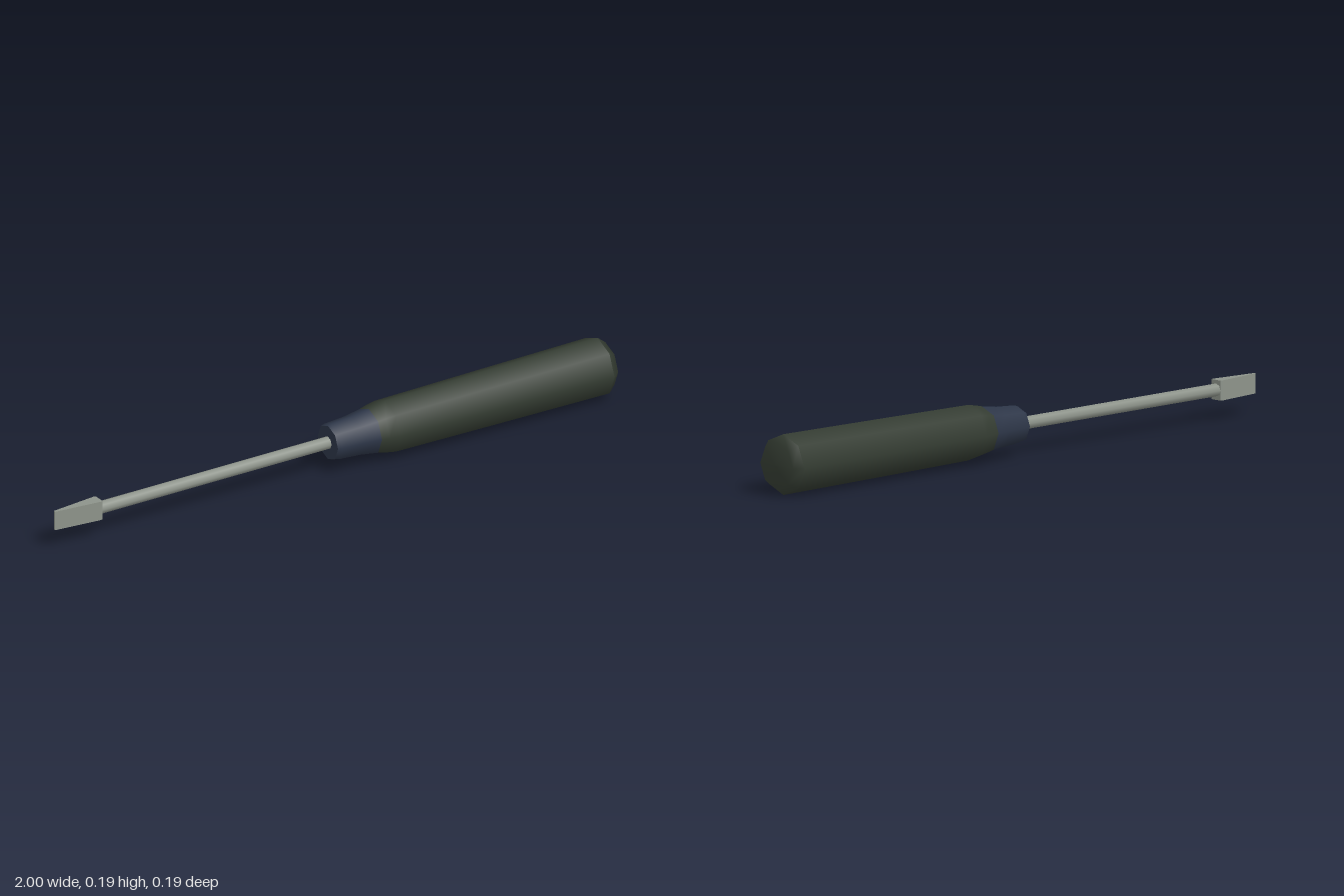
import * as THREE from 'three';

const AXIS_Y = 0.095;

export function createModel() {
  const model = new THREE.Group();
  model.name = 'screwdriver';

  const material = (name, color) => {
    const m = new THREE.MeshStandardMaterial({ color });
    m.name = name;
    return m;
  };
  const grip = material('dark green grip', 0x343c32);
  const navy = material('navy collar', 0x2d3648);
  const steel = material('steel', 0x8d938a);

  const add = (name, geometry, mat) => {
    const mesh = new THREE.Mesh(geometry, mat);
    mesh.name = name;
    mesh.position.y = AXIS_Y;
    model.add(mesh);
  };

  // Eight-sided turned part along x, profile given as [x, radius]
  const turned = (name, profile, mat) => {
    const points = profile.map(([x, r]) => new THREE.Vector2(r, x));
    add(name, new THREE.LatheGeometry(points, 8).rotateZ(-Math.PI / 2), mat);
  };

  // Handle with tapered shoulder and chamfered butt
  turned('handle', [[0.14, 0.074], [0.165, 0.08], [0.2, 0.086], [0.55, 0.09], [0.97, 0.094]], grip);
  turned('handleButt', [[0.97, 0.094], [0.998, 0.072], [1, 0]], grip);

  // Collar and its flat front face
  turned('collar', [[-0.008, 0.056], [0.005, 0.06], [0.08, 0.065], [0.14, 0.074]], navy);
  turned('collarFace', [[-0.008, 0], [-0.008, 0.056]], navy);

  // Shaft
  turned('shaft', [[-0.86, 0.02], [0, 0.02]], steel);

  // Wedge blade: outline in x and z, extruded to its height
  const outline = new THREE.Shape([
    [-1, -0.004], [-0.845, -0.021], [-0.838, -0.019],
    [-0.838, 0.019], [-0.845, 0.021], [-1, 0.004],
  ].map(([x, z]) => new THREE.Vector2(x, z)));
  const blade = new THREE.ExtrudeGeometry(outline, { depth: 0.062, bevelEnabled: false });
  blade.translate(0, 0, -0.031).rotateX(-Math.PI / 2);
  add('blade', blade, steel);

  return model;
}
